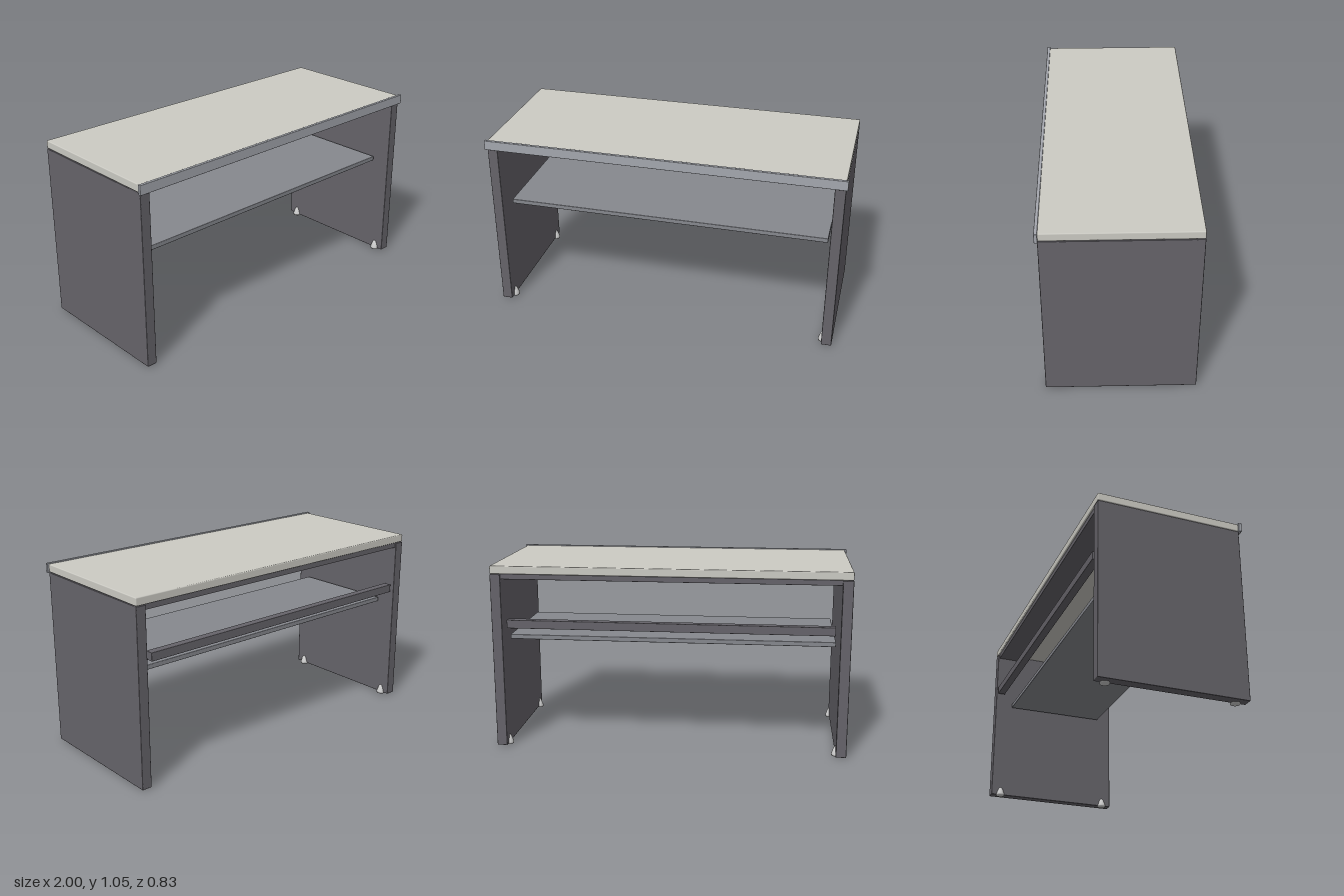
import * as THREE from 'three';
import { RoundedBoxGeometry } from 'three/addons/geometries/RoundedBoxGeometry.js';

const paint = (color) => new THREE.MeshStandardMaterial({ color });

export function createModel() {
  const desk = new THREE.Group();
  desk.name = 'desk';

  const topPaint = paint(0xcccbc4);
  const darkPaint = paint(0x66646a);
  const shelfPaint = paint(0x86888e);
  const edgePaint = paint(0xa4a7ae);
  const footPaint = paint(0xd8d8d8);

  // Board with softened edges, given by its [min, max] on each axis
  function board(name, [x0, x1], [y0, y1], [z0, z1], material, bevel = 0.004) {
    const geometry = new RoundedBoxGeometry(x1 - x0, y1 - y0, z1 - z0, 1, bevel);
    const mesh = new THREE.Mesh(geometry, material);
    mesh.position.set((x0 + x1) / 2, (y0 + y1) / 2, (z0 + z1) / 2);
    mesh.name = name;
    desk.add(mesh);
  }

  // Work surface and the edge strip along its front
  board('tableTop', [-0.99, 0.99], [1.0, 1.045], [-0.413, 0.4], topPaint, 0.006);
  board('frontEdgeStrip', [-1, 1], [0.995, 1.05], [0.395, 0.413], edgePaint, 0.003);

  // Plate under the back of the top, joining the side panels
  board('topBrace', [-0.935, 0.935], [0.97, 1.0], [-0.405, -0.25], darkPaint, 0.002);

  // Shelf and the rail behind it
  board('shelf', [-0.915, 0.915], [0.61, 0.637], [-0.31, 0.3], shelfPaint);
  board('backRail', [-0.905, 0.905], [0.695, 0.742], [-0.41, -0.365], darkPaint, 0.002);

  // Adjustable foot: a rounded cone on a short base
  const footProfile = [
    [0, 0], [0.026, 0], [0.026, 0.01], [0.021, 0.025], [0.014, 0.043], [0.007, 0.052], [0, 0.054],
  ].map(([r, y]) => new THREE.Vector2(r, y));
  const footGeometry = new THREE.LatheGeometry(footProfile, 20);

  // Side panels, each with two feet at its inner face
  for (const [side, s] of [['left', 1], ['right', -1]]) {
    const xs = [0.932 * s, 0.99 * s].sort((a, b) => a - b);
    board(side + 'SidePanel', xs, [0.005, 0.998], [-0.413, 0.398], darkPaint);
    for (const [end, z] of [['Front', 0.34], ['Back', -0.355]]) {
      const foot = new THREE.Mesh(footGeometry, footPaint);
      foot.position.set(0.936 * s, 0, z);
      foot.name = side + end + 'Foot';
      desk.add(foot);
    }
  }
  return desk;
}
